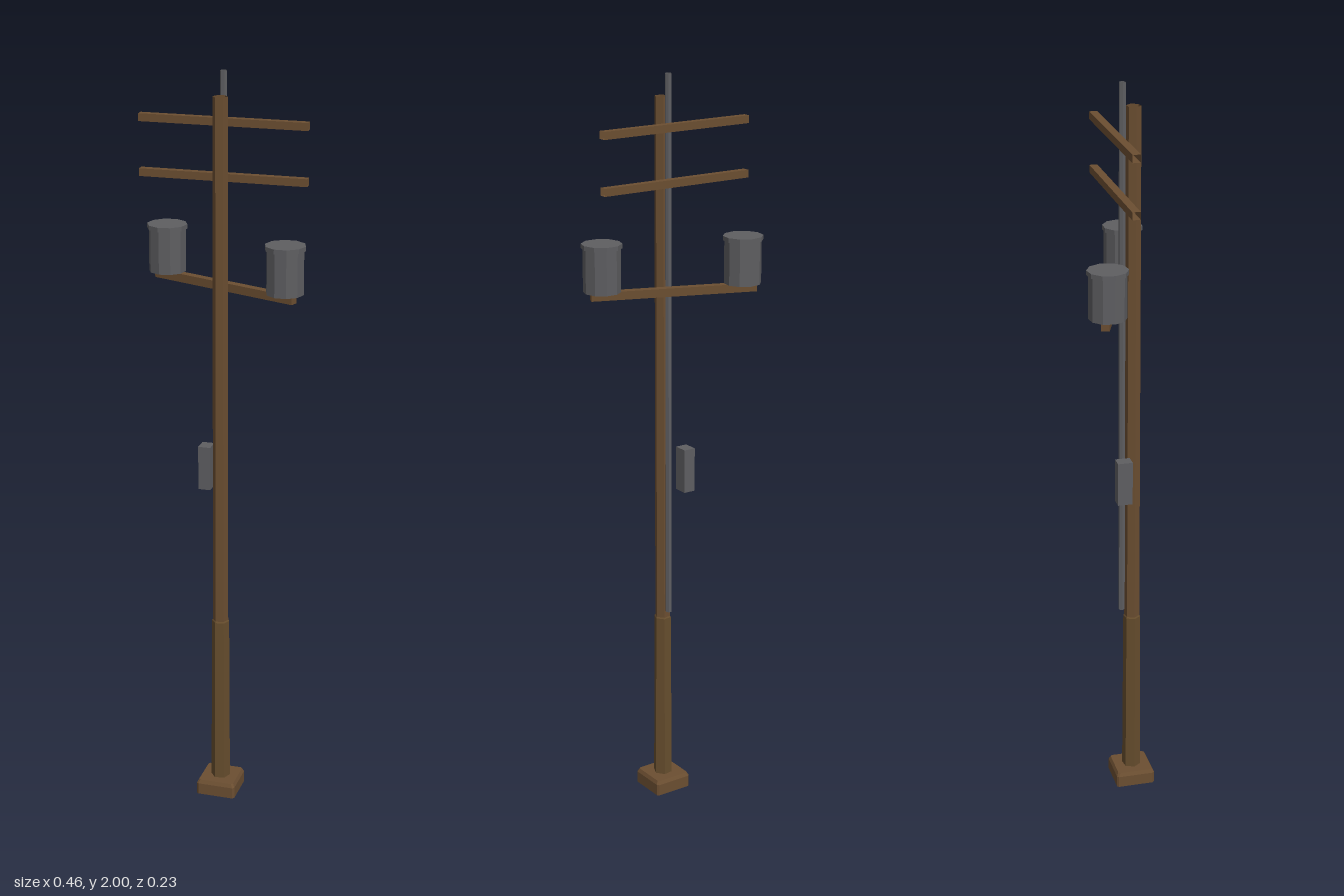
import * as THREE from 'three';

const paint = (name, color) => {
  const m = new THREE.MeshStandardMaterial({ color, flatShading: true, side: THREE.DoubleSide });
  m.name = name;
  return m;
};

export function createModel() {
  const group = new THREE.Group();
  const wood = paint('wood', 0x6b4e31);
  const darkWood = paint('sleeve wood', 0x664d2d);
  const metal = paint('grey metal', 0x5e5e61);

  const add = (name, geometry, material, x, y, z, turn = 0) => {
    const mesh = new THREE.Mesh(geometry, material);
    mesh.name = name;
    mesh.position.set(x, y, z);
    mesh.rotation.y = turn;
    group.add(mesh);
    return mesh;
  };
  const poleZ = 0.046;

  // Hollow foot: chamfered square rings, open underneath, closed on top
  const ring = (y, half, cut) => {
    const a = half, b = half - cut;
    return [[a, -b], [a, b], [b, a], [-b, a], [-a, b], [-a, -b], [-b, -a], [b, -a]]
      .map(([x, z]) => [x, y, z]);
  };
  const rings = [ring(0, 0.054, 0.005), ring(0.032, 0.054, 0.005), ring(0.042, 0.049, 0.005), ring(0.042, 0, 0)];
  const corners = [];
  for (let r = 0; r < rings.length - 1; r++) {
    for (let i = 0; i < 8; i++) {
      const j = (i + 1) % 8, lo = rings[r], hi = rings[r + 1];
      corners.push(...lo[i], ...hi[i], ...lo[j]);
      if (r < 2) corners.push(...hi[i], ...hi[j], ...lo[j]);
    }
  }
  const footGeometry = new THREE.BufferGeometry();
  footGeometry.setAttribute('position', new THREE.Float32BufferAttribute(corners, 3));
  footGeometry.computeVertexNormals();
  add('foot', footGeometry, wood, 0, 0, poleZ);

  // Six-sided pole with a thicker sleeve at the bottom
  const sleeve = [[0.026, 0.04], [0.0235, 0.515], [0.02, 0.52]].map(([r, y]) => new THREE.Vector2(r, y));
  add('poleSleeve', new THREE.LatheGeometry(sleeve, 6), darkWood, 0, 0, poleZ, 0.66);
  add('pole', new THREE.CylinderGeometry(0.0195, 0.021, 1.43, 6, 1, true), wood, 0, 1.225, poleZ, 0.66);

  // Conduit running up the back of the pole
  add('conduit', new THREE.CylinderGeometry(0.009, 0.009, 1.46, 6, 1, true), metal, 0, 1.27, 0.017, 0.52);

  // Two upper crossarms with open ends
  for (const y of [1.868, 1.727]) {
    const arm = new THREE.BoxGeometry(0.443, 0.02, 0.021);
    arm.setIndex([...arm.index.array].slice(12));
    arm.clearGroups();
    add('crossarm', arm, wood, -0.008, y, -0.006);
  }

  // Slanted arm carrying the two transformers
  add('transformerArm', new THREE.BoxGeometry(0.44, 0.022, 0.022), wood, -0.004, 1.443, -0.003, -0.355);
  for (const [x, z, turn] of [[-0.178, -0.065, 0.46], [0.175, 0.062, 0.314]]) {
    add('transformerBody', new THREE.CylinderGeometry(0.049, 0.049, 0.114, 10), metal, x, 1.511, z, turn);
    add('transformerLid', new THREE.CylinderGeometry(0.053, 0.053, 0.012, 10), metal, x, 1.574, z, turn);
  }

  // Meter box at the side of the pole
  add('meterBox', new THREE.BoxGeometry(0.033, 0.12, 0.04), metal, -0.05, 0.945, 0.01);

  return group;
}
